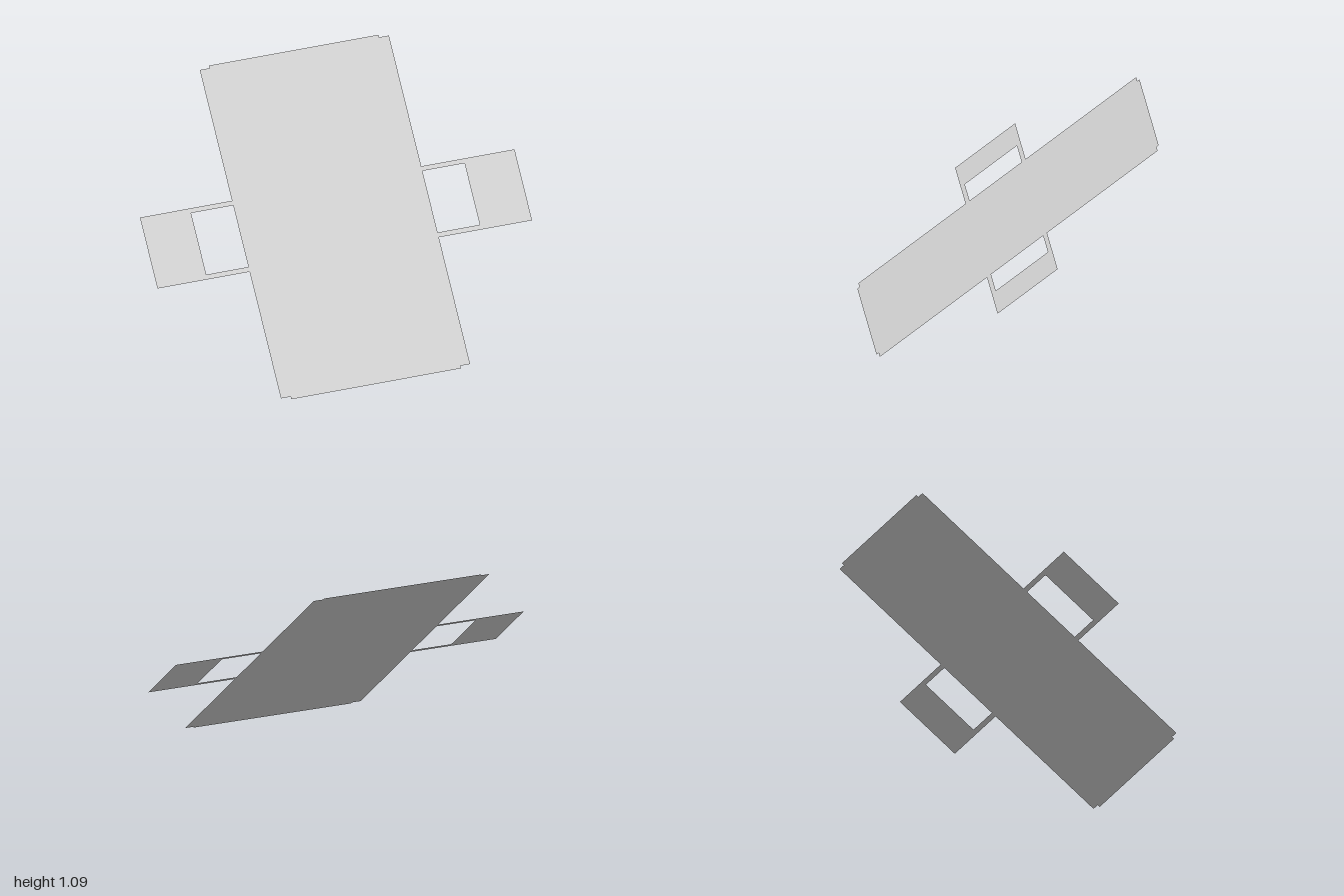
import * as THREE from 'three';

const RISE = 1.09, DEPTH = 1.45;
const HALF = Math.hypot(RISE, DEPTH) / 2; // half length along the slope

const material = new THREE.MeshStandardMaterial({ color: 0xcccccc, side: THREE.DoubleSide });

function outline(points) {
  return points.map(([x, y]) => new THREE.Vector2(x, y));
}

function flatPart(name, points) {
  const mesh = new THREE.Mesh(new THREE.ShapeGeometry(new THREE.Shape(outline(points))), material);
  mesh.name = name;
  return mesh;
}

export function createModel() {
  const model = new THREE.Group();
  model.name = 'tiltedPanel';

  // Everything lies in one sheet, drawn in xy and then leaned back
  const sheet = new THREE.Group();
  sheet.name = 'sheet';
  sheet.position.y = RISE / 2;
  sheet.rotation.x = -Math.atan2(DEPTH, RISE);
  model.add(sheet);

  // Main panel with small notches at its four corners
  const w = 0.505, n = 0.453, end = 0.893;
  const panel = flatPart('mainPanel', [
    [-w, -end], [-n, -end], [-n, -HALF], [n, -HALF], [n, -end], [w, -end],
    [w, end], [n, end], [n, HALF], [-n, HALF], [-n, end], [-w, end],
  ]);
  panel.position.x = -0.003;
  sheet.add(panel);

  // Side wings: an outer plate joined to the panel by two thin arms
  const top = 0.182, innerTop = 0.157, innerBottom = -0.178, bottom = -0.204;
  for (const [side, s] of [['left', 1], ['right', -1]]) {
    const root = s * w - 0.003, plate = s * 0.73 - 0.003;
    sheet.add(flatPart(side + 'Wing', [
      [root, bottom], [s, bottom], [s, top], [root, top],
      [root, innerTop], [plate, innerTop], [plate, innerBottom], [root, innerBottom],
    ]));
  }
  return model;
}
